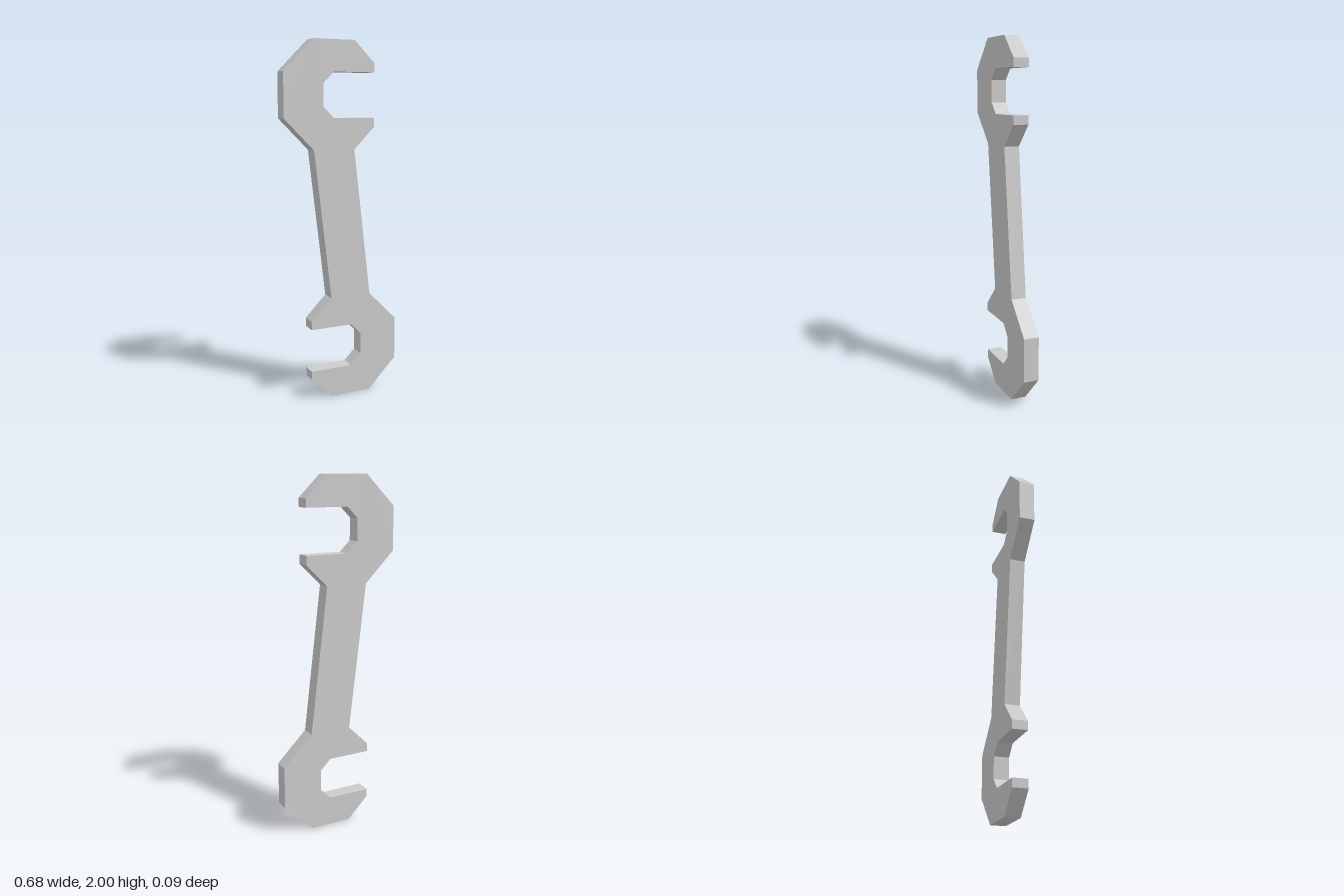
import * as THREE from 'three';

const THICKNESS = 0.086;

// Upper jaw outline, counter-clockwise from the right of its neck to the left
const jaw = [
  [0.07, 1.415], [0.192, 1.537], [0.192, 1.586],
  [-0.053, 1.586], [-0.115, 1.648], [-0.115, 1.77], [-0.053, 1.832],
  [0.192, 1.832], [0.192, 1.88], [0.07, 2],
  [-0.171, 2], [-0.342, 1.83], [-0.342, 1.586], [-0.171, 1.415],
];

export function createModel() {
  const group = new THREE.Group();
  group.name = 'doubleEndedSpanner';

  // The lower jaw is the upper one turned half a circle about the middle;
  // joining the two outlines forms the slanted handle.
  const outline = [...jaw, ...jaw.map(([x, y]) => [-x, 2 - y])];
  const shape = new THREE.Shape(outline.map(([x, y]) => new THREE.Vector2(x, y)));

  const geometry = new THREE.ExtrudeGeometry(shape, { depth: THICKNESS, bevelEnabled: false });
  geometry.translate(0, 0, -THICKNESS / 2);

  const material = new THREE.MeshStandardMaterial({ color: 0xcccccc, flatShading: true });
  const body = new THREE.Mesh(geometry, material);
  body.name = 'spannerBody';
  group.add(body);
  return group;
}
